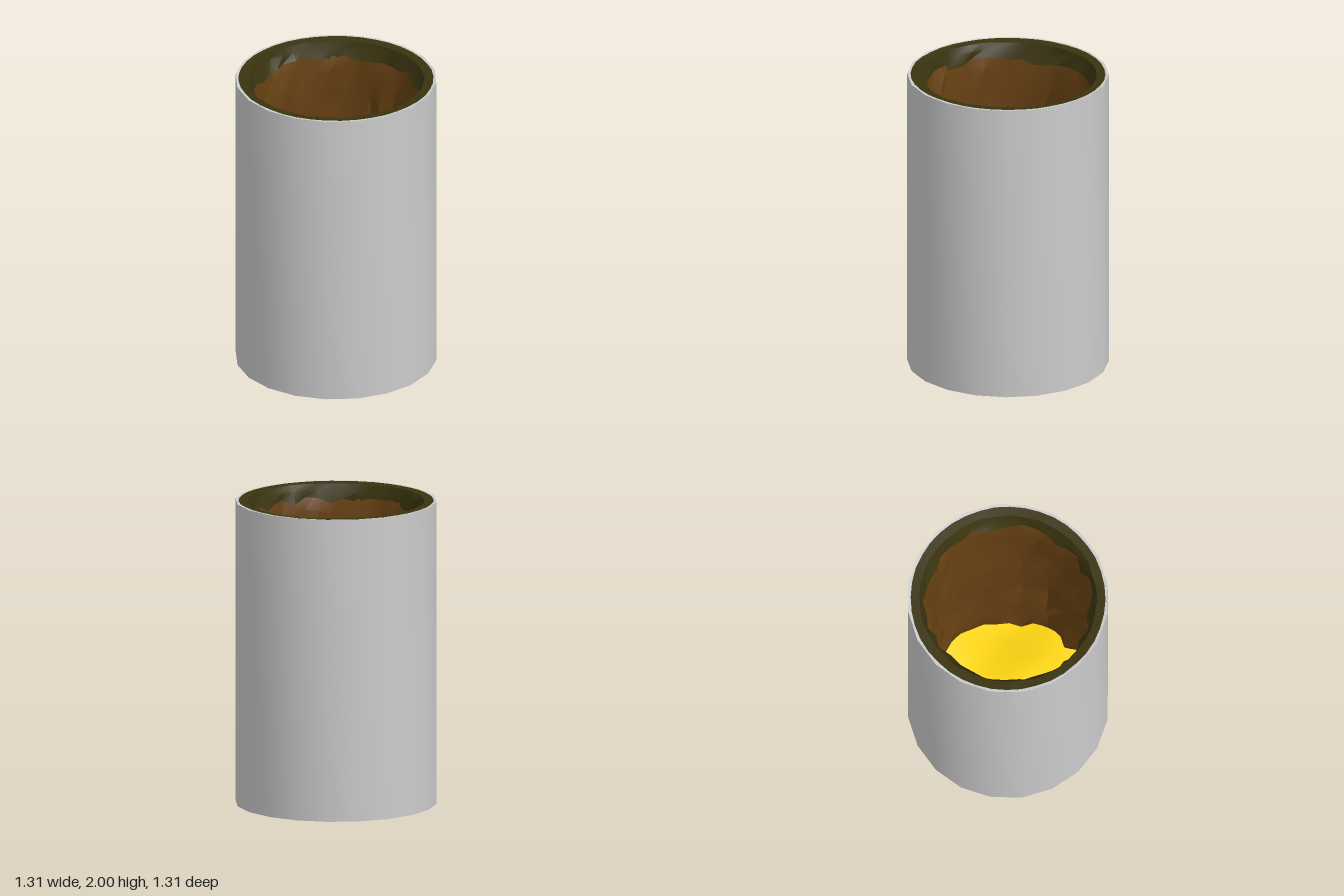
import * as THREE from 'three';
import { toCreasedNormals } from 'three/addons/utils/BufferGeometryUtils.js';

const SEGMENTS = 40;

// Repeatable noise in -1..1 from a segment and a level number
function noise(i, j) {
  const s = Math.sin(i * 127.1 + j * 311.7) * 43758.5453;
  return (s - Math.floor(s)) * 2 - 1;
}

// Skin joining closed rings, each [radius, y, radius roughness, y roughness],
// ordered from outside to inside and downwards; faces point up and inward.
function ringSkin(rings, seed) {
  const positions = [], index = [];
  rings.forEach(([r, y, dr, dy], j) => {
    for (let i = 0; i < SEGMENTS; i++) {
      const a = (i / SEGMENTS) * Math.PI * 2;
      const radius = r + dr * noise(i, j + seed);
      positions.push(Math.cos(a) * radius, y + dy * noise(i + 57, j + seed), Math.sin(a) * radius);
      if (j === rings.length - 1) continue;
      const p = j * SEGMENTS + i;
      const q = j * SEGMENTS + (i + 1) % SEGMENTS;
      index.push(p, p + SEGMENTS, q, q, p + SEGMENTS, q + SEGMENTS);
    }
  });
  const geometry = new THREE.BufferGeometry();
  geometry.setAttribute('position', new THREE.Float32BufferAttribute(positions, 3));
  geometry.setIndex(index);
  geometry.computeVertexNormals();
  return geometry;
}

export function createModel() {
  const group = new THREE.Group();
  const add = (name, geometry, color) => {
    const material = new THREE.MeshStandardMaterial({ color, side: THREE.DoubleSide });
    const mesh = new THREE.Mesh(geometry, material);
    mesh.name = name;
    group.add(mesh);
  };

  // Plain 20-sided outer shell with a closed base and a narrow rim
  const profile = [[0, 0], [0.655, 0], [0.655, 2], [0.615, 1.994]]
    .map(([x, y]) => new THREE.Vector2(x, y));
  add('outerShell', toCreasedNormals(new THREE.LatheGeometry(profile, 20), 0.6), 0xcccccc);

  // Dark turf: flat ring at the mouth, then a rough lip hanging into the hole
  const turf = ringSkin([
    [0.633, 2, 0.002, 0], [0.575, 1.995, 0.006, 0.003],
    [0.56, 1.95, 0.012, 0.008], [0.535, 1.89, 0.025, 0.025],
  ], 3);
  add('turfRim', toCreasedNormals(turf, 0.7), 0x39330f);

  // Brown earth wall, uneven all the way down
  const wall = [[0.575, 1.94, 0, 0]];
  for (let k = 0; k <= 9; k++) wall.push([0.545 - 0.002 * k, 1.82 - k * 0.19, 0.035, 0.03]);
  wall.push([0.56, 0.04, 0, 0]);
  add('earthWall', toCreasedNormals(ringSkin(wall, 11), 0.7), 0x664012);

  // Yellow floor with gentle mounds
  const floor = ringSkin([0.6, 0.5, 0.4, 0.3, 0.2, 0.1, 0].map((r) => [r, 0.1, 0, 0]), 0);
  const p = floor.attributes.position;
  for (let i = 0; i < p.count; i++) {
    const x = p.getX(i), z = p.getZ(i);
    p.setY(i, 0.1 + 0.02 * Math.sin(9 * x + 2 * z) + 0.02 * Math.cos(8 * z - 5 * x));
  }
  floor.computeVertexNormals();
  add('sandFloor', floor, 0xffd712);

  return group;
}
